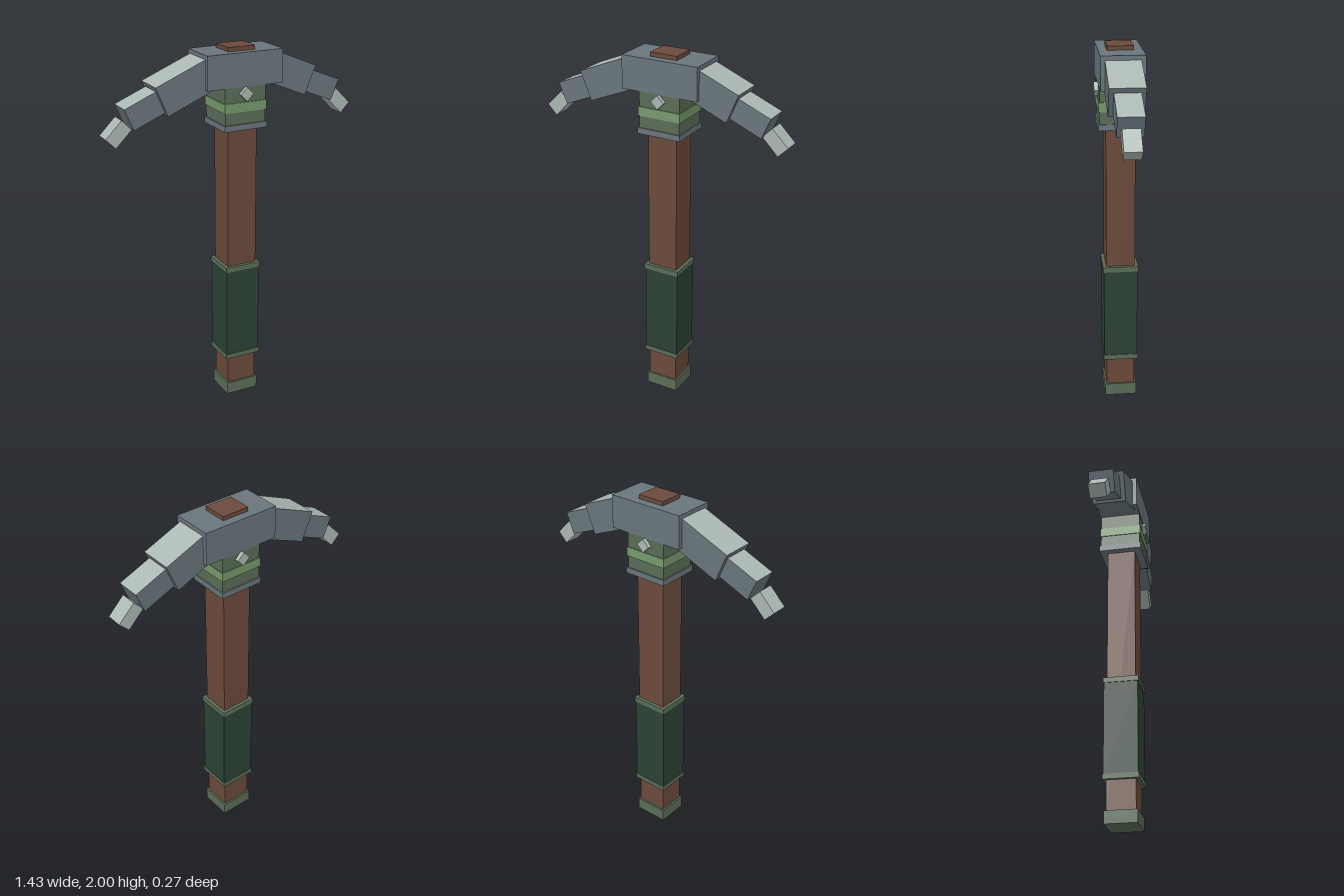
import * as THREE from 'three';

const mat = (name, color) => {
  const m = new THREE.MeshStandardMaterial({ color });
  m.name = name;
  return m;
};

export function createModel() {
  const wood = mat('brown wood', 0x6b4a3b);
  const slate = mat('slate metal', 0x69767c);
  const pale = mat('pale metal', 0xabb8b3);
  const moss = mat('moss green', 0x5a6d57);
  const leaf = mat('light green', 0x76996c);
  const wrap = mat('dark green wrap', 0x2c4235);

  const model = new THREE.Group();
  model.name = 'pickaxe';
  const CX = 0.028; // shaft axis

  const box = (name, material, w, h, d, x, y, z = 0, angle = 0) => {
    const mesh = new THREE.Mesh(new THREE.BoxGeometry(w, h, d), material);
    mesh.name = name;
    mesh.position.set(x, y, z);
    mesh.rotation.z = angle;
    model.add(mesh);
    return mesh;
  };
  // Box on the shaft axis between two heights
  const stack = (name, material, w, d, y0, y1) =>
    box(name, material, w, y1 - y0, d, CX, (y0 + y1) / 2);

  // Shaft
  stack('pommel', moss, 0.19, 0.176, 0, 0.07);
  stack('shaft', wood, 0.17, 0.156, 0.05, 1.6);
  stack('shaftTop', wood, 0.155, 0.137, 1.9, 2);

  // Grip
  stack('grip', wrap, 0.2, 0.184, 0.25, 0.78);
  stack('gripLowerRing', moss, 0.208, 0.193, 0.232, 0.26);
  stack('gripUpperRing', moss, 0.208, 0.193, 0.768, 0.797);

  // Collar under the head
  stack('collarPlate', slate, 0.248, 0.238, 1.573, 1.605);
  stack('collar', moss, 0.234, 0.222, 1.6, 1.85);
  stack('collarBand', leaf, 0.243, 0.232, 1.67, 1.72);

  // Diamond studs on front and back
  for (const s of [1, -1])
    box(s > 0 ? 'frontStud' : 'backStud', pale, 0.053, 0.053, 0.04, CX, 1.765, s * 0.113, Math.PI / 4);

  // Head
  stack('head', slate, 0.434, 0.228, 1.8, 1.978);

  // Arm piece placed by the centre of its outer end, sloping down and outward
  const arm = (name, material, s, ex, ey, len, h, d, deg) => {
    const a = THREE.MathUtils.degToRad(deg);
    box(name, material, len, h, d,
      s * (ex - Math.cos(a) * len / 2), ey + Math.sin(a) * len / 2, 0, -s * a);
  };
  const paleTop = [slate, slate, pale, slate, slate, slate];
  arm('leftInnerArm', paleTop, 1, 0.429, 1.788, 0.29, 0.166, 0.182, 22.5);
  arm('leftOuterArm', paleTop, 1, 0.602, 1.711, 0.23, 0.12, 0.134, 22.5);
  arm('leftTip', pale, 1, 0.688, 1.597, 0.125, 0.075, 0.09, 45);
  arm('rightInnerArm', paleTop, -1, 0.43, 1.766, 0.33, 0.166, 0.182, 22.5);
  arm('rightOuterArm', paleTop, -1, 0.598, 1.69, 0.23, 0.122, 0.134, 22.5);
  arm('rightTip', pale, -1, 0.691, 1.573, 0.125, 0.075, 0.09, 45);

  return model;
}
